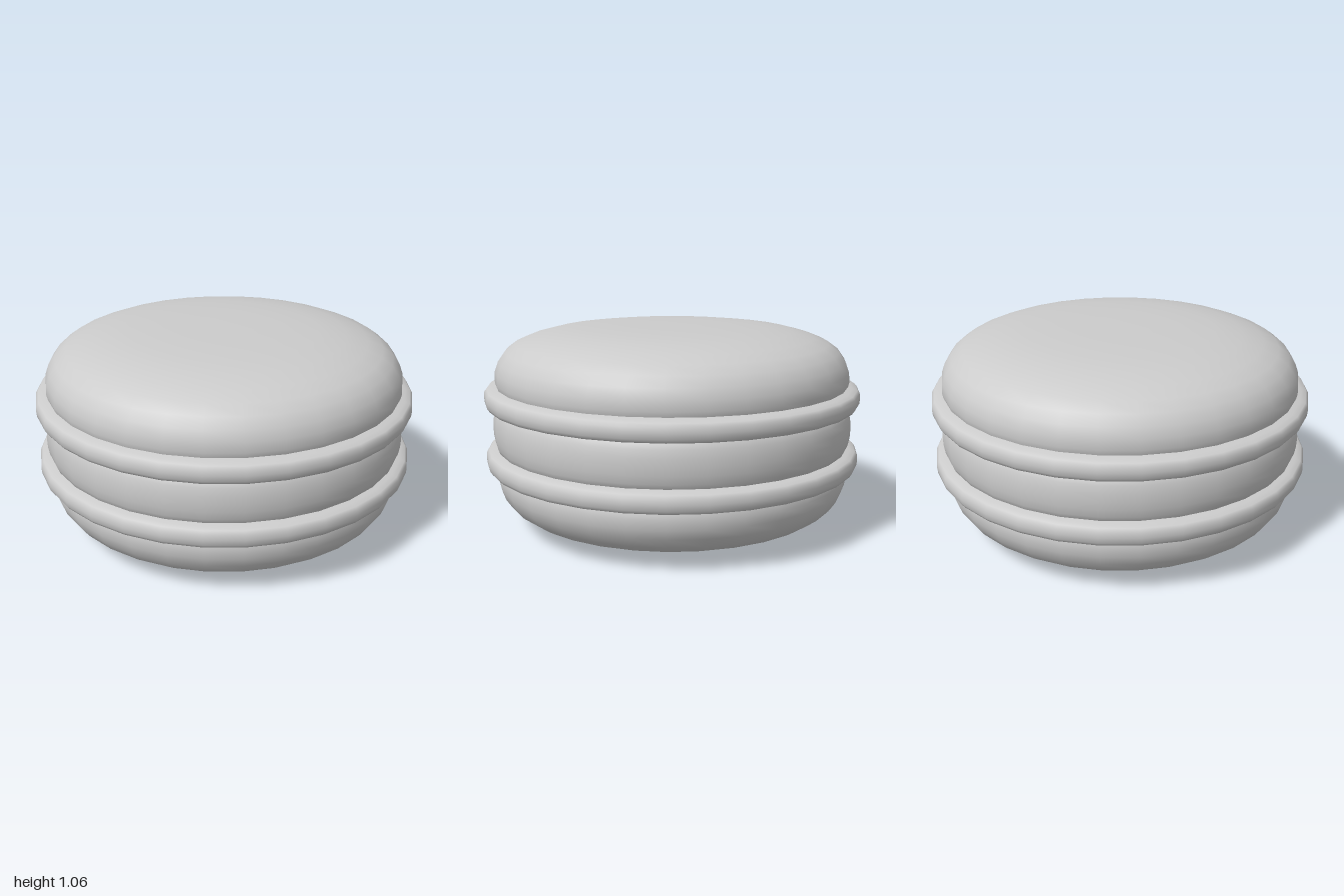
import * as THREE from 'three';

const SEGMENTS = 32;
const MID = 0.53; // height of the horizontal symmetry plane

export function createModel() {
  const model = new THREE.Group();
  const material = new THREE.MeshStandardMaterial({ color: 0xcccccc });

  // Revolves [radius, height] pairs listed from bottom to top
  const addLathe = (name, profile) => {
    const points = profile.map(([r, y]) => new THREE.Vector2(r, y));
    const mesh = new THREE.Mesh(new THREE.LatheGeometry(points, SEGMENTS), material);
    mesh.name = name;
    model.add(mesh);
  };

  // Domed shells, the lower one mirrored from the upper one
  const dome = [
    [0.9, 0.68], [0.932, 0.74], [0.942, 0.78], [0.938, 0.83], [0.92, 0.88],
    [0.885, 0.93], [0.83, 0.97], [0.75, 1.002], [0.64, 1.03],
    [0.5, 1.047], [0.32, 1.056], [0.16, 1.058], [0, 1.058],
  ];
  addLathe('upperShell', dome);
  addLathe('lowerShell', dome.map(([r, y]) => [r, 2 * MID - y]).reverse());

  // Ruffled feet: rounded rims with a soft upper slope
  const rim = [
    [0.9, -0.05], [0.965, -0.051], [0.985, -0.045], [0.997, -0.027],
    [1, 0], [0.997, 0.027], [0.985, 0.043], [0.96, 0.05], [0.938, 0.058], [0.9, 0.064],
  ];
  for (const [name, y] of [['upperFoot', 0.696], ['lowerFoot', 0.369]]) {
    addLathe(name, rim.map(([r, h]) => [r, y + h]));
  }

  // Slightly bulging cream filling
  addLathe('filling', [
    [0.9, 0.38], [0.935, 0.415], [0.949, 0.45], [0.956, 0.49], [0.958, MID],
    [0.956, 0.57], [0.949, 0.61], [0.935, 0.645], [0.9, 0.68],
  ]);

  return model;
}
